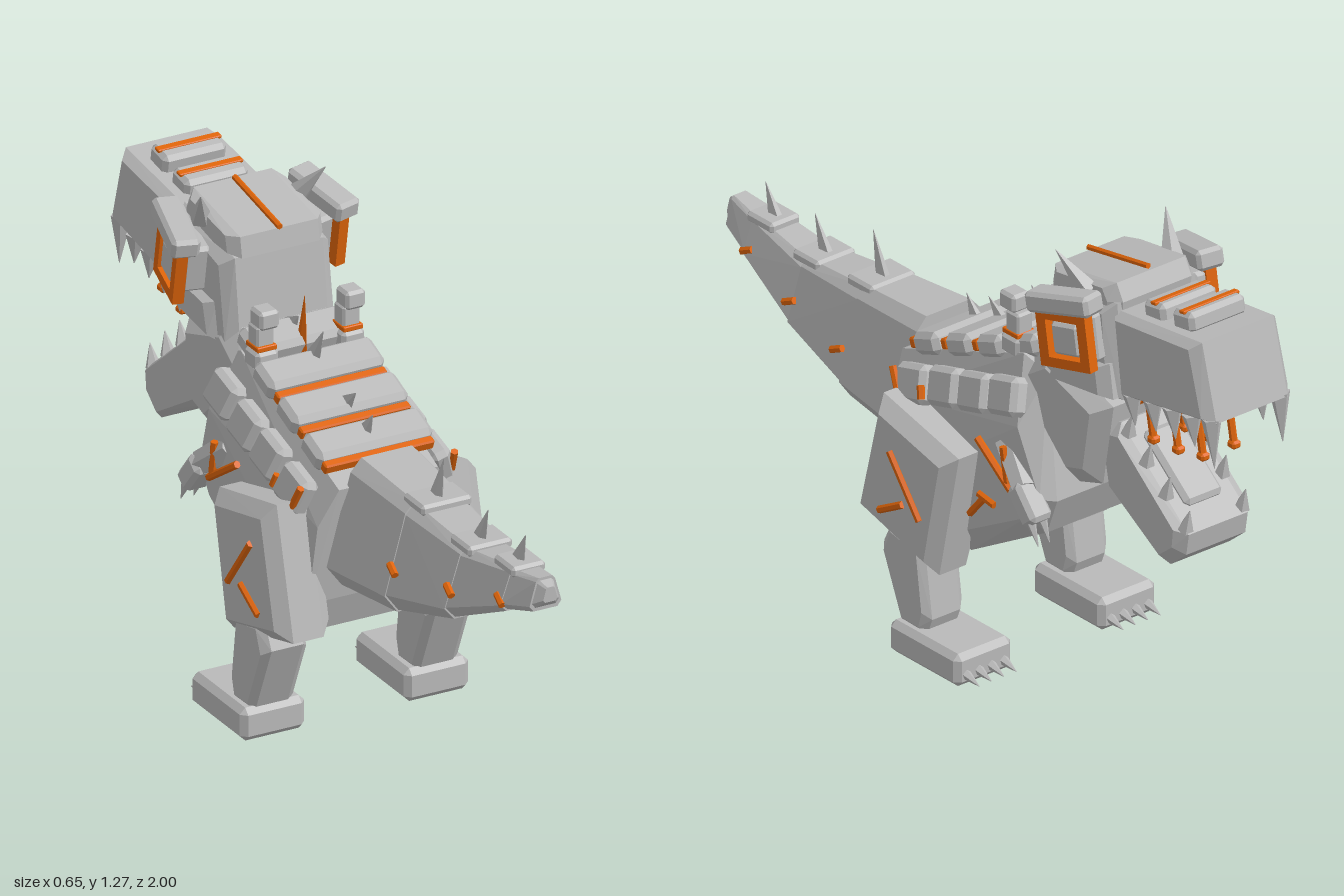
import * as THREE from 'three';
import { ConvexGeometry } from 'three/addons/geometries/ConvexGeometry.js';

export function createModel() {
  const model = new THREE.Group();
  const gray = new THREE.MeshStandardMaterial({ color: 0xb9b9b9 });
  gray.name = 'stone gray';
  const orange = new THREE.MeshStandardMaterial({ color: 0xde640a });
  orange.name = 'burnt orange';
  const V = (x, y, z) => new THREE.Vector3(x, y, z);

  const add = (name, geo, mat = gray) => {
    const mesh = new THREE.Mesh(geo, mat);
    mesh.name = name;
    model.add(mesh);
    return mesh;
  };
  // Side outline of [z, y] points, given a width in x with bevelled flanks
  const block = (name, outline, x0, x1, bevel = 0.02) => {
    const n = outline.length;
    const cz = outline.reduce((s, p) => s + p[0], 0) / n;
    const cy = outline.reduce((s, p) => s + p[1], 0) / n;
    const pts = [];
    for (const [z, y] of outline) {
      const k = 1 - (1.3 * bevel) / Math.hypot(z - cz, y - cy);
      const iz = cz + (z - cz) * k, iy = cy + (y - cy) * k;
      pts.push(V(x0 + bevel, y, z), V(x1 - bevel, y, z), V(x0, iy, iz), V(x1, iy, iz));
    }
    return add(name, new ConvexGeometry(pts));
  };
  // Chamfered box with centre, size and rotation
  const box = (name, [x, y, z], [w, h, d], c = 0.01, rot = [0, 0, 0], mat = gray) => {
    const pts = [];
    for (const i of [-0.5, 0.5]) for (const j of [-0.5, 0.5]) for (const k of [-0.5, 0.5]) {
      const a = i * (w - 2 * c), b = j * (h - 2 * c), e = k * (d - 2 * c);
      pts.push(V(i * w, b, e), V(a, j * h, e), V(a, b, k * d));
    }
    const mesh = add(name, new ConvexGeometry(pts), mat);
    mesh.position.set(x, y, z);
    mesh.rotation.set(...rot);
    return mesh;
  };
  // Cone or rod running from one point to another
  const rod = (name, a, b, r0, r1, mat = gray, sides = 6) => {
    const from = V(...a), dir = V(...b).sub(from);
    const geo = new THREE.CylinderGeometry(r1, r0, dir.length(), sides).toNonIndexed();
    geo.computeVertexNormals();
    const mesh = add(name, geo, mat);
    mesh.position.copy(from).addScaledVector(dir, 0.5);
    mesh.quaternion.setFromUnitVectors(V(0, 1, 0), dir.normalize());
    return mesh;
  };
  const spike = (name, a, b, r, mat = gray) => rod(name, a, b, r, 0.001, mat, 5);
  // Spike on the midline, thin in x
  const blade = (name, a, b, r, mat) => spike(name, a, b, r, mat).scale.set(0.5, 1, 1);
  const scar = (name, a, b) => rod(name, a, b, 0.01, 0.01, orange);

  // Torso as [z, y, half width]: narrow back, wide flanks, bevelled belly
  const torso = [
    [0.18, 0.72, 0.14], [-0.3, 0.905, 0.15], [-0.37, 0.87, 0.13],
    [0.16, 0.62, 0.19], [-0.35, 0.74, 0.213], [-0.42, 0.56, 0.2],
    [0.13, 0.4, 0.2], [-0.1, 0.34, 0.2], [-0.37, 0.49, 0.2],
    [0.1, 0.31, 0.16], [-0.11, 0.28, 0.16], [-0.39, 0.44, 0.15], [-0.44, 0.55, 0.16],
  ];
  add('torso', new ConvexGeometry(torso.flatMap(([z, y, w]) => [V(w, y, z), V(-w, y, z)])));
  block('neck', [[-0.24, 0.85], [-0.37, 0.95], [-0.61, 0.87], [-0.57, 0.64], [-0.48, 0.61]], -0.16, 0.16, 0.04);

  // Tail: faceted segments, each wider at the bottom than at the top
  const section = (z, top, bottom, w) => {
    const h = top - bottom, pts = [];
    for (const s of [-1, 1]) {
      pts.push(V(s * w * 0.75, bottom, z), V(s * w, bottom + h * 0.17, z),
        V(s * w * 0.6, top - h * 0.1, z), V(s * w * 0.42, top, z));
    }
    return pts;
  };
  const tail = [[0.17, 0.79, 0.455, 0.17], [0.42, 0.768, 0.485, 0.142], [0.66, 0.742, 0.56, 0.107], [0.875, 0.768, 0.665, 0.07], [0.975, 0.778, 0.7, 0.042]];
  for (let i = 0; i < 4; i++) {
    const [z, t, b, w] = tail[i + 1];
    add('tailSegment', new ConvexGeometry([...section(...tail[i]), ...section(z, t + 0.005, b - 0.005, w + 0.003)]));
  }
  add('tailTip', new ConvexGeometry([...section(0.97, 0.778, 0.7, 0.042), ...section(1, 0.765, 0.725, 0.02)]));
  for (const [z, y, w, tipZ, tipY] of [[0.43, 0.768, 0.072, 0.46, 0.89], [0.65, 0.745, 0.063, 0.685, 0.845], [0.845, 0.767, 0.048, 0.875, 0.855]]) {
    box('tailPlate', [0, y, z], [w * 2, 0.03, 0.1], 0.008);
    blade('tailSpike', [0, y + 0.005, z - 0.005], [0, tipY, tipZ], 0.027);
  }

  // Back plates stepping up the spine, with orange bands between them
  const slope = 0.36;
  const backY = z => 0.793 - (z - 0.02) * 0.375;
  for (const z of [0.07, -0.055, -0.175, -0.29]) {
    box('backPlate', [0, backY(z) + 0.008, z], [z < -0.25 ? 0.29 : 0.33, 0.06, 0.1], 0.015, [slope, 0, 0]);
  }
  for (const z of [0.125, 0.005, -0.115]) {
    box('backBand', [0, backY(z) + 0.008, z], [0.31, 0.028, 0.024], 0.004, [slope, 0, 0], orange);
  }
  for (const [z, tipZ, tipY] of [[0.06, 0.1, 0.86], [-0.04, 0.015, 0.885], [-0.2, -0.15, 0.985], [-0.315, -0.275, 0.975]]) {
    blade('backSpike', [0, backY(z) + 0.015, z], [0, tipY, tipZ], 0.03);
  }
  blade('neckSpike', [0, 0.88, -0.26], [0, 1.043, -0.245], 0.026, orange);

  // Skull, snout and the plates on top
  block('skull', [[-0.375, 1.12], [-0.63, 1.17], [-0.655, 0.91], [-0.345, 0.865]], -0.155, 0.155, 0.03);
  block('skullCap', [[-0.365, 1.12], [-0.375, 1.175], [-0.61, 1.215], [-0.635, 1.17], [-0.63, 1.12]], -0.135, 0.135, 0.025);
  block('cheek', [[-0.42, 0.99], [-0.63, 1.01], [-0.645, 0.915], [-0.4, 0.885]], -0.175, 0.175, 0.025);
  block('snout', [[-0.61, 1.145], [-0.945, 1.185], [-1, 0.98], [-0.64, 0.915]], -0.14, 0.14, 0.025);
  rod('skullStripe', [0, 1.18, -0.37], [0, 1.221, -0.6], 0.008, 0.008, orange);
  for (const [z, y] of [[-0.725, 1.17], [-0.835, 1.19]]) {
    box('snoutPlate', [0, y, z], [0.18, 0.055, 0.08], 0.012, [0.17, 0, 0]);
    box('snoutStripe', [0, y + 0.027, z], [0.18, 0.009, 0.02], 0.002, [0.17, 0, 0], orange);
  }
  box('throat', [0, 0.872, -0.6], [0.15, 0.04, 0.05], 0.01, [0.2, 0, 0], orange);

  // Lower jaw with its raised tongue
  block('lowerJaw', [[-0.54, 0.8], [-0.61, 0.82], [-0.87, 0.61], [-0.86, 0.55], [-0.8, 0.5], [-0.56, 0.64]], -0.12, 0.12, 0.025);
  box('tongue', [0, 0.722, -0.73], [0.12, 0.035, 0.22], 0.012, [-0.68, 0, 0]);

  // Everything mirrored left and right
  for (const s of [1, -1]) {
    const pair = (name, outline, a, b, bevel) =>
      block(name, outline, Math.min(s * a, s * b), Math.max(s * a, s * b), bevel);

    // Leg
    pair('thigh', [[0.096, 0.675], [-0.193, 0.605], [-0.118, 0.25], [0.182, 0.33]], 0.15, 0.305, 0.035);
    pair('shin', [[0.085, 0.27], [0.05, 0.34], [-0.07, 0.32], [-0.1, 0.12], [-0.08, 0.07], [0, 0.07]], 0.168, 0.298, 0.02);
    box('foot', [s * 0.232, 0.045, -0.115], [0.183, 0.09, 0.27], 0.016);
    for (const x of [0.172, 0.212, 0.252, 0.292]) {
      spike('toeClaw', [s * x, 0.035, -0.24], [s * x, 0.02, -0.297], 0.016);
    }
    scar('thighScar', [s * 0.307, 0.55, 0.03], [s * 0.307, 0.4, -0.085]);
    scar('thighScar', [s * 0.307, 0.37, 0.07], [s * 0.307, 0.42, -0.02]);

    // Arm
    rod('upperArm', [s * 0.18, 0.66, -0.28], [s * 0.215, 0.58, -0.38], 0.04, 0.035);
    box('forearm', [s * 0.215, 0.55, -0.4], [0.07, 0.11, 0.06], 0.012, [0.7, 0, 0]);
    for (const d of [-0.018, 0.018]) {
      spike('handClaw', [s * 0.215 + d, 0.515, -0.425], [s * 0.215 + d, 0.455, -0.455], 0.014);
    }
    scar('chestScar', [s * 0.216, 0.65, -0.2], [s * 0.222, 0.56, -0.335]);
    scar('chestScar', [s * 0.222, 0.67, -0.305], [s * 0.22, 0.575, -0.32]);
    scar('chestScar', [s * 0.207, 0.42, -0.16], [s * 0.207, 0.485, -0.215]);
    scar('chestScar', [s * 0.207, 0.49, -0.195], [s * 0.207, 0.48, -0.255]);

    // Rib plates down each flank with small orange pegs
    for (const [z, y] of [[0.06, 0.69], [-0.062, 0.73], [-0.177, 0.762], [-0.294, 0.8]]) {
      box('ribPlate', [s * 0.197, y, z], [0.055, 0.1, 0.114], 0.014, [0.27, 0, s * 0.33]);
    }
    scar('ribPeg', [s * 0.222, 0.712, 0.012], [s * 0.229, 0.68, 0.002]);
    scar('hipPeg', [s * 0.218, 0.72, 0.125], [s * 0.226, 0.66, 0.095]);

    // Shoulder posts
    box('postBand', [s * 0.122, 0.938, -0.245], [0.056, 0.014, 0.06], 0.002, [0, 0, 0], orange);
    box('postFoot', [s * 0.122, 0.905, -0.245], [0.065, 0.055, 0.07], 0.01);
    box('postStem', [s * 0.122, 0.967, -0.248], [0.05, 0.06, 0.05], 0.006);
    box('postCap', [s * 0.122, 1.02, -0.23], [0.056, 0.05, 0.06], 0.008);

    // Eye turned slightly forward, brow and horn
    const turn = s * 0.2;
    box('eyeSocket', [s * 0.165, 1.07, -0.54], [0.07, 0.13, 0.14], 0.01, [0.17, turn, 0]);
    const ring = (a, b) => [[-a, -b], [a, -b], [a, b], [-a, b]].map(p => new THREE.Vector2(...p));
    const frame = new THREE.Shape(ring(0.079, 0.076));
    frame.holes.push(new THREE.Path(ring(0.05, 0.05)));
    const rim = new THREE.ExtrudeGeometry(frame, { depth: 0.03, bevelEnabled: false });
    rim.translate(0, 0, -0.015).rotateY(Math.PI / 2);
    const eyeFrame = add('eyeFrame', rim, orange);
    eyeFrame.position.set(s * 0.214, 1.065, -0.54);
    eyeFrame.rotation.set(0.17, turn, 0);
    box('eye', [s * 0.2, 1.065, -0.54], [0.05, 0.085, 0.085], 0.008, [0.17, turn, 0]);
    box('brow', [s * 0.209, 1.163, -0.525], [0.075, 0.055, 0.2], 0.01, [0.22, s * 0.22, 0]);
    spike('horn', [s * 0.135, 1.17, -0.53], [s * 0.177, 1.268, -0.455], 0.03);

    // Teeth along both jaws and orange strands hanging between them
    for (const [z, y] of [[-0.67, 0.93], [-0.75, 0.945], [-0.825, 0.955], [-0.9, 0.965], [-0.975, 0.985]]) {
      spike('upperTooth', [s * 0.11, y, z], [s * 0.11, y - (z < -0.95 ? 0.135 : 0.085), z - 0.012], 0.028);
    }
    for (const [z, y] of [[-0.63, 0.795], [-0.7, 0.74], [-0.775, 0.68], [-0.85, 0.615]]) {
      spike('lowerTooth', [s * 0.09, y, z], [s * 0.09, y + 0.06, z - 0.018], 0.022);
    }
    for (const [z, y] of [[-0.655, 0.92], [-0.75, 0.93], [-0.845, 0.95]]) {
      rod('strand', [s * 0.05, y, z], [s * 0.05, y - 0.13, z - 0.025], 0.01, 0.01, orange);
      box('strandTip', [s * 0.05, y - 0.133, z - 0.026], [0.028, 0.022, 0.028], 0.006, [0, 0, 0], orange);
    }

    // Short pegs down the flanks of the tail
    for (const [x, y, z] of [[0.132, 0.61, 0.44], [0.098, 0.64, 0.665], [0.066, 0.69, 0.865]]) {
      scar('tailPeg', [s * x, y + 0.008, z - 0.018], [s * (x + 0.005), y - 0.008, z + 0.018]);
    }
  }
  return model;
}
